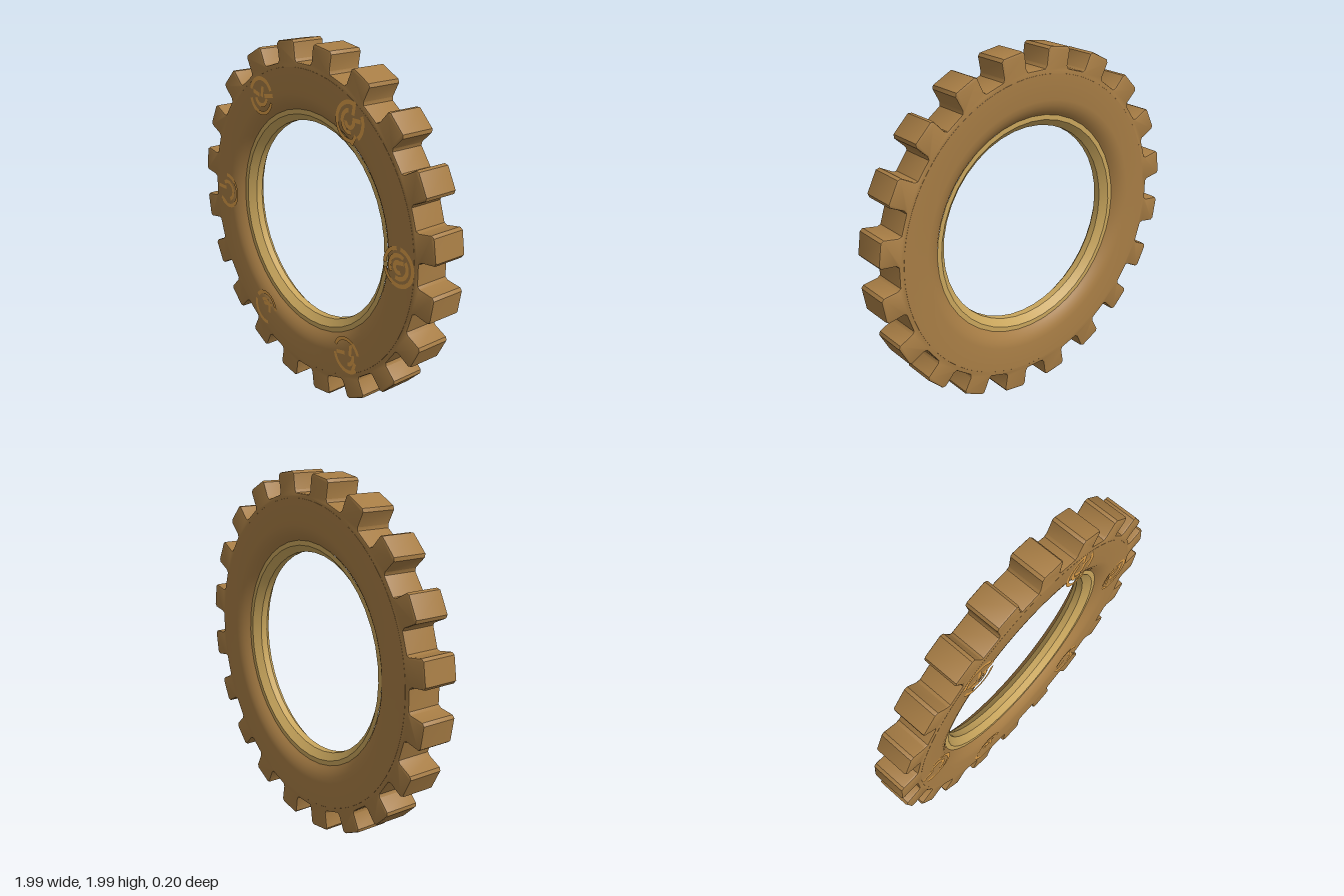
import * as THREE from 'three';
import { mergeGeometries, toCreasedNormals } from 'three/addons/utils/BufferGeometryUtils.js';

const TEETH = 20;
const HALF = 0.1;

const brown = new THREE.MeshStandardMaterial({ color: 0xa67c44 });
brown.name = 'bronze brown';
const gold = new THREE.MeshStandardMaterial({ color: 0xc8a55c });
gold.name = 'pale gold';
const amber = new THREE.MeshStandardMaterial({ color: 0xd99c48 });
amber.name = 'amber inlay';

// Toothed outline: one tooth profile (offset, distance from centre) repeated round the ring
function toothedOutline() {
  const half = [[0.083, 0.884], [0.074, 0.9], [0.076, 0.985], [0.062, 1.0]];
  const tooth = [...half, ...half.map(([u, v]) => [-u, v]).reverse()];
  const points = [];
  for (let i = 0; i < TEETH; i++) {
    const a = ((i + 0.5) / TEETH) * Math.PI * 2;
    const c = Math.cos(a), s = Math.sin(a);
    for (const [u, v] of tooth) points.push(new THREE.Vector2(v * c + u * s, v * s - u * c));
  }
  return points;
}

// Revolve a half profile (radius, z), mirrored front to back, about the z axis
function revolve(profile, segments, crease) {
  const pts = profile.map(([r, z]) => new THREE.Vector2(r, z));
  const g = new THREE.LatheGeometry(pts, segments);
  g.rotateX(Math.PI / 2);
  return toCreasedNormals(g, crease);
}

// Flat curved stroke and straight stroke used by the inlays; angles in degrees
function arc(radius, from, to, width = 0.022) {
  return new THREE.RingGeometry(radius - width / 2, radius + width / 2, 28, 1,
    THREE.MathUtils.degToRad(from), THREE.MathUtils.degToRad(to - from));
}
function bar(x, y, length, angle, width = 0.022) {
  const g = new THREE.PlaneGeometry(length, width);
  g.rotateZ(THREE.MathUtils.degToRad(angle));
  g.translate(x, y, 0);
  return g;
}

// Six different round inlays, starting at +x and going anticlockwise
function inlayStrokes() {
  return [
    [arc(0.098, -165, 85), arc(0.098, 100, 180), arc(0.062, 60, 215), arc(0.06, -110, 40),
      arc(0.028, 90, 300), bar(0.01, 0.025, 0.05, 10)],
    [arc(0.098, 75, 285), arc(0.098, -50, 25), arc(0.057, 100, 280), arc(0.03, 180, 380),
      bar(0.03, 0.07, 0.07, 80), bar(0.05, 0.012, 0.06, 0), bar(0.03, -0.09, 0.06, 60)],
    [arc(0.098, 25, 165), arc(0.098, 195, 345), arc(0.052, 200, 350), bar(0.07, 0.01, 0.08, 10),
      bar(-0.045, 0.01, 0.06, -15), bar(0.01, 0.025, 0.06, 80)],
    [arc(0.098, -130, 95), arc(0.055, -70, 130), bar(-0.06, 0.012, 0.08, 0), bar(-0.05, -0.075, 0.06, -30)],
    [arc(0.098, 5, 145), arc(0.098, 165, 280), arc(0.052, 60, 130), bar(0.02, 0.03, 0.08, 10),
      bar(0.035, 0.0, 0.05, 90)],
    [arc(0.098, 20, 160), arc(0.098, 190, 320), arc(0.052, -80, 20), bar(0.03, 0.04, 0.07, 85),
      bar(-0.05, 0.0, 0.07, 15), bar(0.06, -0.05, 0.06, 70)],
  ];
}

export function createModel() {
  const model = new THREE.Group();
  model.name = 'toothedRing';
  const add = (name, geometry, material) => {
    const mesh = new THREE.Mesh(geometry, material);
    mesh.name = name;
    model.add(mesh);
    return mesh;
  };

  // Teeth with lightly bevelled edges
  const bevel = 0.01;
  const shape = new THREE.Shape(toothedOutline());
  shape.holes.push(new THREE.Path().absarc(0, 0, 0.76, 0, Math.PI * 2, true));
  const teeth = new THREE.ExtrudeGeometry(shape, {
    depth: 2 * (HALF - bevel) - 0.001, curveSegments: 48, bevelEnabled: true,
    bevelThickness: bevel, bevelSize: bevel, bevelOffset: -bevel, bevelSegments: 2,
  });
  teeth.translate(0, 0, -(HALF - bevel) + 0.0005);
  add('teeth', toCreasedNormals(teeth, 0.6), brown);

  // Ring body, flat outside and curving in toward the rim
  const face = [[0.868, 0.092], [0.86, HALF], [0.72, HALF], [0.69, 0.094], [0.665, 0.082], [0.645, 0.068], [0.628, 0.052]];
  const back = face.map(([r, z]) => [r, -z]).reverse();
  add('ringBody', revolve([...back, ...face], 80, 0.7), brown);

  // Inner rim: narrow flat lip, then a chamfer down to the bore
  const lip = [[0.632, 0.056], [0.605, 0.056], [0.567, 0.02]];
  add('innerRim', revolve([...lip, ...lip.map(([r, z]) => [r, -z]).reverse()], 40, 0.4), gold);

  // Round inlays on the front face
  inlayStrokes().forEach((strokes, i) => {
    const a = (i * Math.PI) / 3;
    const inlay = add('inlay' + (i + 1), mergeGeometries(strokes), amber);
    inlay.position.set(0.755 * Math.cos(a), 0.755 * Math.sin(a), HALF + 0.002);
  });

  // Stand the ring on the ground
  model.children.forEach((part) => { part.position.y += 1; });
  return model;
}
